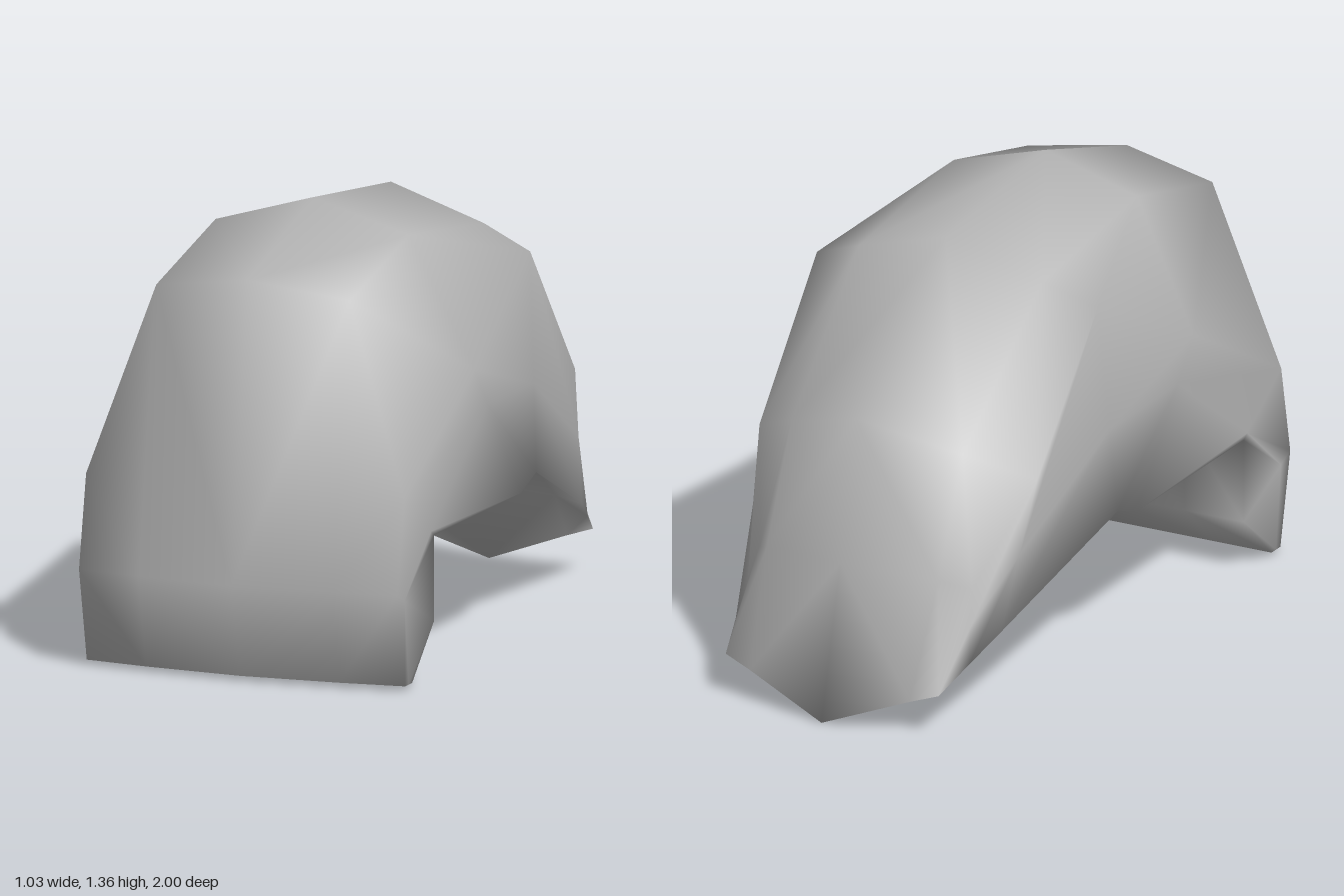
import * as THREE from 'three';
import { mergeVertices } from 'three/addons/utils/BufferGeometryUtils.js';

// A half section: the ridge point lies on x = 0, the lower side point sits at
// `fold` between side and rim, and the underside is raised above the rim by `hollow`.
function section(ridge, mid, side, rim, fold, hollow) {
  const lower = side.map((v, k) => THREE.MathUtils.lerp(v, rim[k], fold));
  const under = [[mid[0], rim[1] + hollow * 0.7, rim[2]], [0, rim[1] + hollow, rim[2]]];
  return [[0, ...ridge], mid, side, lower, rim, ...under];
}

// The tail section closes to a thin edge
function edge(tip, mid, corner) {
  return [tip, mid, corner, corner, corner, mid, tip];
}

// Mirror a half section into a closed ring
function ring(half) {
  const mirrored = half.slice(1, -1).reverse().map(([x, y, z]) => [-x, y, z]);
  return [...half, ...mirrored];
}

// Skin the rings with quads, welded for smooth normals
function skin(sections) {
  const rings = sections.map(ring);
  const n = rings[0].length;
  const index = [];
  for (let i = 0; i < rings.length - 1; i++) {
    for (let j = 0; j < n; j++) {
      const a = i * n + j, b = i * n + (j + 1) % n, c = a + n, d = b + n;
      // Flip the diagonal on the mirrored half so both sides match
      if (j < n / 2) index.push(a, b, d, a, d, c);
      else index.push(a, b, c, b, d, c);
    }
  }
  // Flat sole under the front lip
  const hub = n / 2;
  for (let j = 0; j < n; j++) {
    const k = (j + 1) % n;
    if (j !== hub && k !== hub) index.push(hub, k, j);
  }
  const g = new THREE.BufferGeometry();
  g.setAttribute('position', new THREE.Float32BufferAttribute(rings.flat(2), 3));
  g.setIndex(index);
  const welded = mergeVertices(g, 1e-4);
  welded.computeVertexNormals();
  return welded;
}

export function createModel() {
  const group = new THREE.Group();
  group.name = 'curvedShell';
  const grey = new THREE.MeshStandardMaterial({ color: 0xb4b4b4 });
  grey.name = 'plain grey';

  const shell = new THREE.Mesh(skin([
    // Front lip
    section([0.015, 0.93], [0.31, 0.015, 0.91], [0.51, 0.015, 0.885], [0.51, 0.015, 0.83], 0.5, 0),
    section([0.3, 1], [0.31, 0.3, 0.97], [0.51, 0.3, 0.945], [0.51, 0.17, 0.66], 0.2, 0),
    // Brow and crown
    section([1.2, 0.87], [0.31, 1.155, 0.83], [0.51, 0.58, 0.89], [0.51, 0.43, 0.66], 0.9, 0.02),
    section([1.355, 0.37], [0.31, 1.265, 0.37], [0.512, 0.87, 0.35], [0.515, 0.43, 0], 0.28, 0.05),
    section([1.285, -0.24], [0.31, 1.19, -0.21], [0.475, 1.125, -0.17], [0.515, 0.47, -0.12], 0.6, 0.06),
    // Back
    section([0.895, -0.79], [0.29, 0.79, -0.66], [0.47, 0.7, -0.53], [0.43, 0.26, -0.68], 0.5, 0.12),
    section([0.47, -0.885], [0.29, 0.44, -0.81], [0.36, 0.4, -0.73], [0.395, 0.195, -0.81], 0.5, 0.08),
    // Flared tail edge
    edge([0, 0, -1], [0.27, 0.1, -0.95], [0.36, 0.13, -0.935]),
  ]), grey);
  shell.name = 'shell';
  group.add(shell);
  return group;
}
